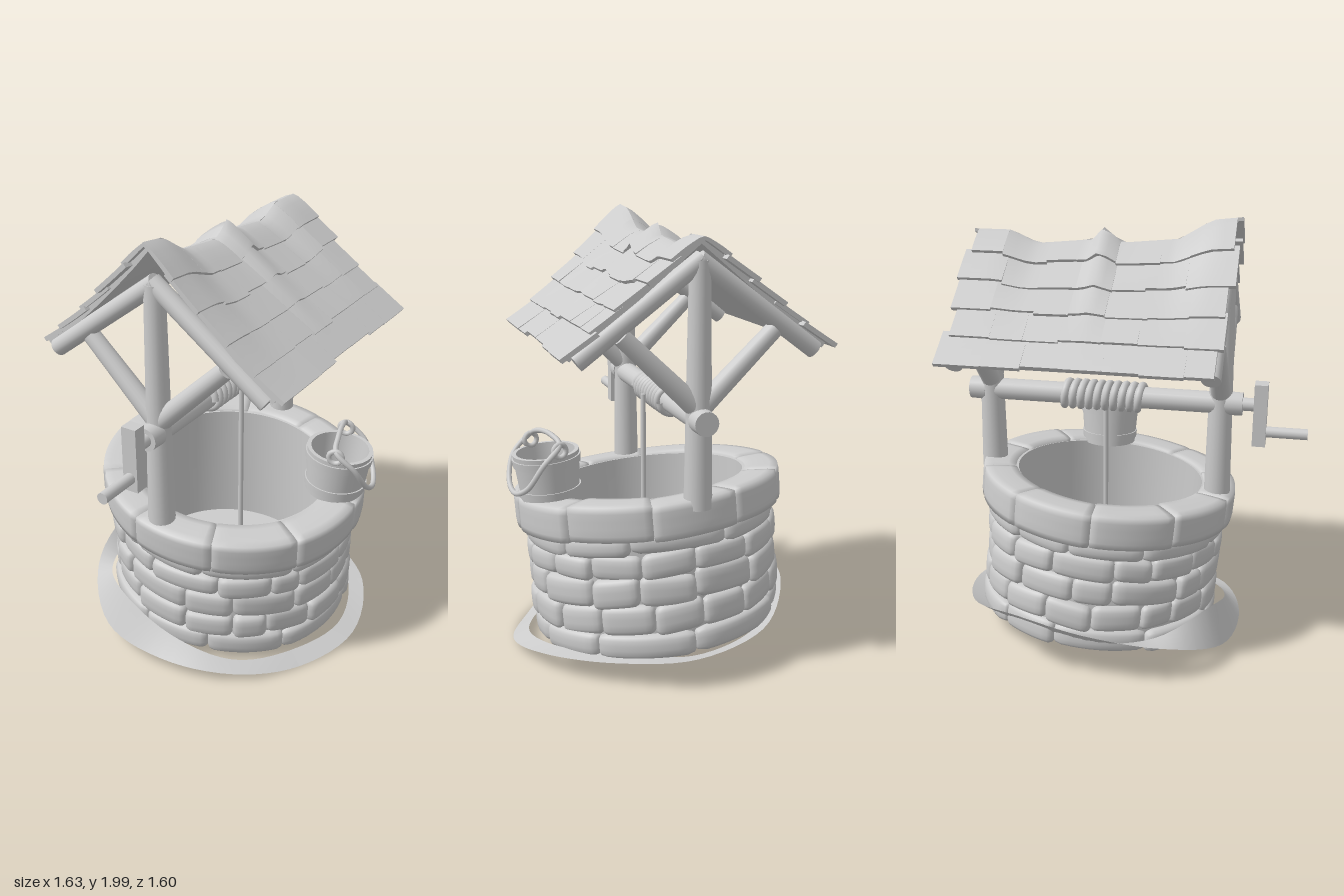
import * as THREE from 'three';
import { mergeVertices } from 'three/addons/utils/BufferGeometryUtils.js';

const grey = new THREE.MeshStandardMaterial({ color: 0xcccccc, side: THREE.DoubleSide });
grey.name = 'pale grey';

const V = (x, y, z) => new THREE.Vector3(x, y, z);
const TURN = 0.505;
let seed = 7;
const rnd = (a = 1) => {
  seed = (seed * 16807) % 2147483647;
  return (seed / 2147483647 * 2 - 1) * a;
};

function add(parent, name, geo) {
  const m = new THREE.Mesh(geo, grey);
  m.name = name;
  parent.add(m);
  return m;
}

// Round beam between two points
function beam(parent, name, a, b, ra, rb = ra) {
  const m = add(parent, name, new THREE.CylinderGeometry(rb, ra, a.distanceTo(b), 18));
  m.position.copy(a).add(b).multiplyScalar(0.5);
  m.quaternion.setFromUnitVectors(V(0, 1, 0), b.clone().sub(a).normalize());
  return m;
}

// Move every vertex of a geometry by a rule
function warp(geo, rule) {
  const p = geo.attributes.position, v = V(0, 0, 0);
  for (let i = 0; i < p.count; i++) {
    v.fromBufferAttribute(p, i);
    rule(v);
    p.setXYZ(i, v.x, v.y, v.z);
  }
  geo.computeVertexNormals();
  return geo;
}

// The masonry is slightly oval along the axle and leans: lower at the front, higher at the back
function lean(v) {
  const c = Math.cos(TURN), s = Math.sin(TURN), up = v.y - 0.7;
  const along = 0.97 * (v.x * c - v.z * s), across = 1.005 * (v.x * s + v.z * c);
  v.x = along * c + across * s;
  v.z = across * c - along * s;
  v.y += 0.04 * v.x * (0.5 + 0.5 * v.y / 0.7) - 0.11 * v.z;
  v.x -= 0.04 * up;
  v.z += 0.09 * up;
}

// Rounded block bent around the well; a = angle, arc = angular width
function stone(parent, name, a, arc, y, h, rOut, depth, round, tilt) {
  const w = arc * rOut, rm = rOut - depth / 2;
  let geo = new THREE.BoxGeometry(w, h, depth, 10, 5, 4);
  geo.deleteAttribute('uv');
  geo.deleteAttribute('normal');
  geo = mergeVertices(geo);
  const skew = rnd(tilt), lim = V(w / 2 - round, h / 2 - round, depth / 2 - round);
  const low = lim.clone().negate(), q = V(0, 0, 0);
  warp(geo, (v) => {
    q.copy(v).clamp(low, lim);
    v.sub(q).setLength(round).add(q);
    const ang = a + v.x / rOut, r = rm + v.z;
    v.set(Math.sin(ang) * r, y + v.y + skew * v.x / w * 2, Math.cos(ang) * r);
    lean(v);
  });
  add(parent, name, geo);
}

// Radial-smooth normals for the core, which keeps its profile edges sharp
function smoothRing(geo) {
  const n = geo.attributes.normal, p = geo.attributes.position;
  for (let i = 0; i < n.count; i++) {
    if (Math.abs(n.getY(i)) > 0.5) continue;
    const s = Math.sign(n.getX(i) * p.getX(i) + n.getZ(i) * p.getZ(i)), l = Math.hypot(p.getX(i), p.getZ(i));
    n.setXYZ(i, s * p.getX(i) / l, 0, s * p.getZ(i) / l);
  }
  return geo;
}

function makeWell() {
  const well = new THREE.Group();
  well.name = 'stoneWell';
  // Mortar core with the smooth inner shaft, and its floor
  const ring = [[0.45, 0.15], [0.545, 0.15], [0.545, 0.62], [0.585, 0.66], [0.595, 0.772], [0.45, 0.772], [0.45, 0.15]];
  const core = new THREE.LatheGeometry(ring.map((p) => new THREE.Vector2(...p)), 64).toNonIndexed();
  core.deleteAttribute('uv');
  add(well, 'innerWall', smoothRing(warp(core, lean)));
  const floor = new THREE.CircleGeometry(0.49, 48).rotateX(Math.PI / 2).translate(0, 0.145, 0);
  add(well, 'shaftFloor', warp(floor, lean));
  // Five courses of stones, the top and bottom ones long
  const rows = [0.11, 0.215, 0.335, 0.455, 0.56, 0.645], counts = [9, 16, 14, 15, 10];
  counts.forEach((n, row) => {
    const h = rows[row + 1] - rows[row], step = Math.PI * 2 / n;
    const edges = Array.from({ length: n }, (_, i) => (i + row * 0.43) * step + rnd(step * 0.24));
    edges.push(edges[0] + Math.PI * 2);
    for (let i = 0; i < n; i++) {
      stone(well, 'wallStone', (edges[i] + edges[i + 1]) / 2, edges[i + 1] - edges[i] + 0.012,
        (rows[row] + rows[row + 1]) / 2 + rnd(0.006), h + 0.01 + rnd(0.008), 0.58 + rnd(0.008), 0.1, 0.036, 0.012);
    }
  });
  // Rim slabs
  const slabs = 10, arc = Math.PI * 2 / slabs;
  for (let i = 0; i < slabs; i++) {
    stone(well, 'rimSlab', i * arc + 0.25, arc + 0.006, 0.706 + rnd(0.004), 0.158, 0.615 + rnd(0.005), 0.16, 0.014, 0.004);
  }
  // Loose ground strip around the base: radius, outer height, inner height every 30 degrees
  const strip = [[0.62, 0.01, 0.05], [0.66, 0.04, 0.07], [0.65, 0.1, 0.11], [0.62, 0.12, 0.13],
    [0.67, 0.15, 0.13], [0.68, 0.2, 0.16], [0.64, 0.27, 0.18], [0.65, 0.26, 0.18],
    [0.67, 0.19, 0.2], [0.68, 0.09, 0.26], [0.65, 0.07, 0.16], [0.64, 0.05, 0.07]];
  const edge = (inner) => new THREE.CatmullRomCurve3(strip.map(([r, yo, yi], i) => {
    const a = i * Math.PI / 6, rr = inner ? r - 0.075 : r;
    return V(Math.sin(a) * rr, inner ? yi : yo, Math.cos(a) * rr);
  }), true);
  const out = edge(false), inn = edge(true), pos = [], idx = [], N = 72;
  for (let i = 0; i <= N; i++) {
    pos.push(...inn.getPoint(i / N).toArray(), ...out.getPoint(i / N).toArray());
    const k = i * 2;
    if (i < N) idx.push(k, k + 1, k + 2, k + 1, k + 3, k + 2);
  }
  const ground = new THREE.BufferGeometry();
  ground.setAttribute('position', new THREE.Float32BufferAttribute(pos, 3));
  ground.setIndex(idx);
  ground.computeVertexNormals();
  add(well, 'groundStrip', ground);
  well.position.set(0.02, 0, 0.06);
  return well;
}

// Sagging ridge line: position along the ridge, height
const RIDGE = [[-0.64, 1.995], [-0.47, 1.975], [-0.33, 1.89], [-0.08, 1.865], [0.0, 1.93], [0.05, 1.875], [0.3, 1.85], [0.42, 1.905], [0.64, 1.905]];
function ridgeY(u) {
  let i = 0;
  while (i < RIDGE.length - 2 && u > RIDGE[i + 1][0]) i++;
  const [a, ya] = RIDGE[i], [b, yb] = RIDGE[i + 1];
  return ya + (yb - ya) * (u - a) / (b - a);
}

// Roof panel patch: u along ridge, t from ridge (0) to eave (1), h off the surface
function roofPatch(parent, name, side, u0, u1, t0, t1, hTop, hLow, thick, segs) {
  const geo = new THREE.BoxGeometry(1, 1, 1, segs, 6, 1);
  warp(geo, (v) => {
    const u = u0 + (u1 - u0) * (v.x + 0.5), f = 0.5 - v.y, t = t0 + (t1 - t0) * f;
    const h = hTop + (hLow - hTop) * f + thick * (v.z - 0.5);
    const x = side * u, k = 1 - t;
    const round = Math.sqrt(t * t + 0.0016) - 0.04;
    const y = 1.88 + (ridgeY(x) - 1.88) * k * k - 0.443 * round + h * 0.78;
    v.set(x, y, side * (0.57 * t + h * 0.62 * Math.min(1, t * 8)));
  });
  add(parent, name, geo);
}

function makeRoof() {
  const roof = new THREE.Group();
  roof.name = 'roof';
  for (const side of [1, -1]) {
    roofPatch(roof, 'roofDeck', side, -0.55, 0.55, 0, 0.98, 0, 0, 0.025, 24);
    // Overlapping shingle rows
    const rows = 5, n = 7;
    for (let r = 0; r < rows; r++) {
      const cuts = Array.from({ length: n + 1 }, (_, i) => -0.575 + 1.15 * i / n + rnd(0.025));
      for (let i = 0; i < n; i++) {
        roofPatch(roof, 'shingle', side, cuts[i], cuts[i + 1], Math.max(0, r / rows - 0.03),
          (r + 1) / rows + 0.01 + rnd(0.014), r ? 0.006 : 0.015, 0.021 + rnd(0.003), 0.02, 4);
      }
    }
  }
  return roof;
}

function makeFrame() {
  const frame = new THREE.Group();
  frame.name = 'timberFrame';
  const axleY = 1.172;
  for (const s of [-1, 1]) {
    const u = s * 0.535;
    beam(frame, 'post', V(u, 0.745 + s * 0.045, 0), V(u, 1.82, 0), 0.061, 0.044);
    for (const d of [-1, 1]) {
      beam(frame, 'rafter', V(u, 1.825, -d * 0.01), V(u, 1.435, d * 0.515), 0.04);
      beam(frame, 'brace', V(u, 1.23, d * 0.02), V(u, 1.53, d * 0.33), 0.045, 0.038);
    }
    beam(frame, 'axleCap', V(s * 0.56, axleY, 0), V(s * 0.635, axleY, 0), 0.055, 0.052);
  }
  // Windlass
  beam(frame, 'axle', V(-0.6, axleY, 0), V(0.6, axleY, 0), 0.05);
  beam(frame, 'crankShaft', V(-0.62, axleY, 0), V(-0.73, axleY, 0), 0.03);
  add(frame, 'crankArm', new THREE.BoxGeometry(0.06, 0.29, 0.07)).position.set(-0.715, 1.13, 0);
  beam(frame, 'crankHandle', V(-0.72, 1.047, 0), V(-0.93, 1.047, 0), 0.025);
  // Rope wound on the axle and hanging into the shaft
  const turns = 10, pts = [];
  for (let i = 0; i <= turns * 12; i++) {
    const a = i / 12 * Math.PI * 2;
    pts.push(V(-0.185 + 0.38 * i / (turns * 12), axleY + 0.055 * Math.sin(a), 0.055 * Math.cos(a)));
  }
  add(frame, 'ropeCoil', new THREE.TubeGeometry(new THREE.CatmullRomCurve3(pts), 280, 0.018, 8));
  beam(frame, 'hangingRope', V(0.008, axleY, 0.075), V(0.008, 0.35, 0.075), 0.012);
  return frame;
}

function makeBucket() {
  const bucket = new THREE.Group();
  bucket.name = 'bucket';
  const lathe = (pts) => new THREE.LatheGeometry(pts.map((p) => new THREE.Vector2(...p)), 32);
  add(bucket, 'bucketBody', lathe([[0, 0], [0.13, 0], [0.13, 0], [0.148, 0.22], [0.148, 0.22], [0.13, 0.22], [0.13, 0.22], [0.115, 0.03], [0.115, 0.03], [0, 0.03]]));
  for (const [y, r] of [[0.025, 0.138], [0.165, 0.15]]) {
    add(bucket, 'bucketBand', lathe([[r - 0.012, y], [r, y], [r, y], [r + 0.003, y + 0.035], [r + 0.003, y + 0.035], [r - 0.012, y + 0.035]]));
  }
  // Ears and the bail fallen to one side, with its loop over the mouth
  const handle = new THREE.Group();
  handle.name = 'bucketHandle';
  for (const s of [-1, 1]) {
    const ear = add(handle, 'bucketEar', new THREE.TorusGeometry(0.03, 0.012, 8, 18));
    ear.position.set(s * 0.137, 0.245, 0);
    ear.rotation.y = Math.PI / 2;
  }
  const bail = [[-0.14, 0.27, 0], [-0.145, 0.2, 0.09], [-0.09, 0.1, 0.15], [0, 0.065, 0.17], [0.09, 0.1, 0.15], [0.145, 0.2, 0.09], [0.14, 0.27, 0], [0.06, 0.3, -0.01], [-0.06, 0.3, -0.01]];
  add(handle, 'bail', new THREE.TubeGeometry(new THREE.CatmullRomCurve3(bail.map((p) => V(...p)), true), 72, 0.012, 8, true));
  handle.rotation.y = 0.28;
  bucket.add(handle);
  bucket.position.set(0.078, 0.745, 0.53);
  bucket.rotation.x = 0.09;
  return bucket;
}

export function createModel() {
  const model = new THREE.Group();
  model.name = 'wishingWell';
  // Timber, roof and bucket share one turned axis
  const turned = new THREE.Group();
  turned.name = 'upperStructure';
  turned.add(makeFrame(), makeRoof(), makeBucket());
  turned.position.set(0.01, 0, 0.01);
  turned.rotation.y = TURN;
  model.add(makeWell(), turned);
  return model;
}
